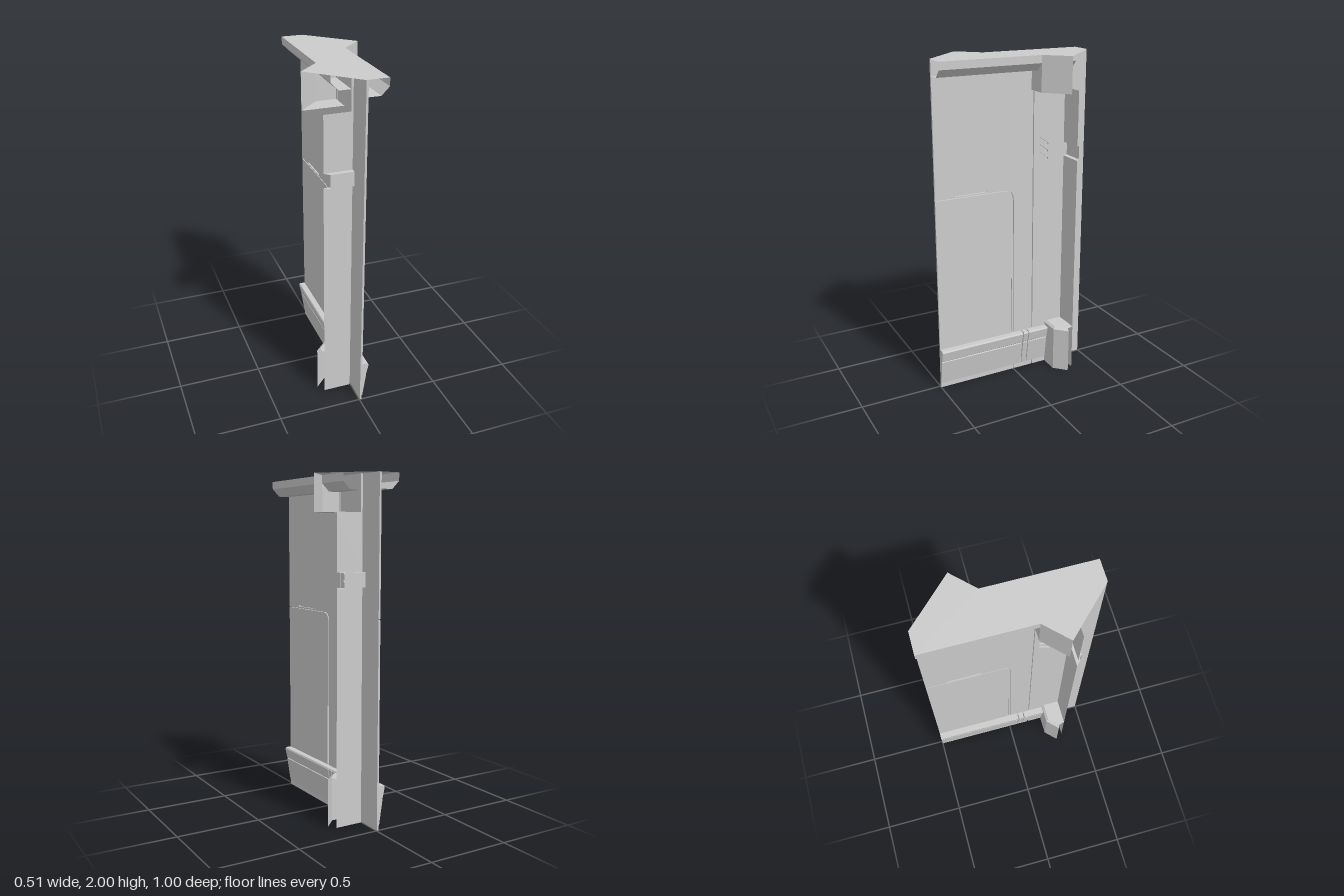
import * as THREE from 'three';

const material = new THREE.MeshStandardMaterial({ color: 0xcccccc, flatShading: true, side: THREE.DoubleSide });

function mesh(name, geometry) {
  const m = new THREE.Mesh(geometry, material);
  m.name = name;
  return m;
}

// Open sheet: joins rows of equally many [x, y, z] points with quads
function sheet(name, rows) {
  const pos = rows.flat(2), index = [], n = rows[0].length;
  for (let r = 0; r < rows.length - 1; r++) {
    for (let i = 0; i < n - 1; i++) {
      const a = r * n + i, b = a + 1, c = a + n, d = c + 1;
      index.push(a, b, d, a, d, c);
    }
  }
  const g = new THREE.BufferGeometry();
  g.setAttribute('position', new THREE.Float32BufferAttribute(pos, 3));
  g.setIndex(index);
  const flat = g.toNonIndexed();
  flat.computeVertexNormals();
  return mesh(name, flat);
}

const row = (plan, y) => plan.map(([x, z]) => [x, y, z]);

function makeShape(pts) {
  return new THREE.Shape(pts.map(p => new THREE.Vector2(p[0], p[1])));
}

// Horizontal flat polygon from [x, z] points
function plate(name, plan, y) {
  const g = new THREE.ShapeGeometry(makeShape(plan.map(([x, z]) => [x, -z])));
  g.rotateX(-Math.PI / 2).translate(0, y, 0);
  return mesh(name, g);
}

// Wall panel drawn in (-z, y), extruded outwards along +x
function panel(name, shape) {
  const g = new THREE.ExtrudeGeometry(shape, { depth: 0.012, bevelEnabled: false, curveSegments: 8 });
  g.rotateY(Math.PI / 2).translate(0.003, 0, 0);
  return mesh(name, g);
}

// Rounded slot between two points
function slot(x0, y0, x1, y1, r) {
  const a = Math.atan2(y1 - y0, x1 - x0), p = new THREE.Path();
  p.absarc(x1, y1, r, a - Math.PI / 2, a + Math.PI / 2);
  p.absarc(x0, y0, r, a + Math.PI / 2, a + Math.PI * 1.5);
  p.closePath();
  return p;
}

function createSide() {
  const side = new THREE.Group();

  // Backing sheet behind the panel seams
  side.add(sheet('wallBacking', [row([[0.003, 0.5], [0.003, -0.345]], 0), row([[0.003, 0.5], [0.003, -0.345]], 2)]));

  // Narrow panel with three slanted vents
  const narrow = makeShape([[0.138, 0], [0.345, 0], [0.345, 2], [0.138, 2]]);
  for (const y of [1.48, 1.435, 1.39]) narrow.holes.push(slot(0.177, y + 0.015, 0.227, y - 0.02, 0.01));
  side.add(panel('ventPanel', narrow));

  // Main panel framing the door, with a slit above the seam
  const frame = new THREE.Shape();
  frame.moveTo(0.132, 0).lineTo(0.132, 2).lineTo(-0.5, 2).lineTo(-0.5, 1.208).lineTo(-0.06, 1.208);
  frame.quadraticCurveTo(0.004, 1.208, 0.004, 1.14).lineTo(0.004, 0).closePath();
  frame.holes.push(slot(-0.37, 1.22, -0.175, 1.22, 0.006));
  side.add(panel('doorFrame', frame));

  // Door leaf with a rounded top corner and a finger slit
  const door = new THREE.Shape();
  door.moveTo(-0.5, 0).lineTo(-0.002, 0).lineTo(-0.002, 1.14);
  door.quadraticCurveTo(-0.002, 1.202, -0.06, 1.202).lineTo(-0.5, 1.202).closePath();
  door.holes.push(slot(-0.011, 0.27, -0.011, 0.63, 0.004));
  side.add(panel('door', door));

  // Baseboard in three lengths, leaning out towards its top
  const profile = makeShape([[0.01, 0.03], [0.018, 0.03], [0.041, 0.182], [0.036, 0.185],
    [0.042, 0.19], [0.055, 0.25], [0.05, 0.26], [0.01, 0.26]]);
  for (const [z0, z1] of [[-0.345, -0.096], [-0.09, -0.058], [-0.052, 0.5]]) {
    const g = new THREE.ExtrudeGeometry(profile, { depth: z1 - z0, bevelEnabled: false });
    side.add(mesh('baseboard', g.translate(0, 0, z0)));
  }

  // Top beam, open at its ends
  const beam = [[0.13, 2], [0.13, 1.955], [0.085, 1.91], [0.015, 1.91]];
  side.add(sheet('topBeam', [0.5, -0.345].map(z => beam.map(([x, y]) => [x, y, z]))));

  // Column shaft with a recessed band
  const outer = [[0.003, -0.345], [0.17, -0.345]], inner = [[0.003, -0.375], [0.14, -0.375]];
  side.add(sheet('columnShaft', [row(outer, 0), row(outer, 1.375), row(inner, 1.375),
    row(inner, 1.46), row(outer, 1.46), row(outer, 1.79)]));

  // Column capital
  const cap = [[0.003, -0.12], [0.13, -0.12], [0.255, -0.245]];
  side.add(sheet('capitalSides', [row(cap, 1.79), row(cap, 2)]));
  side.add(plate('capitalUnderside', [...cap, [0.003, -0.245]], 1.79));

  // Column foot with a sloping rim and top
  const foot = [[0.003, -0.23], [0.13, -0.23], [0.2, -0.3]];
  const rim = [[0.003, -0.245], [0.124, -0.245], [0.182, -0.305]];
  side.add(sheet('columnFoot', [row(foot, 0), row(foot, 0.278), row(rim, 0.29)]));
  side.add(plate('columnFootTop', [...rim, [0.17, -0.345], [0.003, -0.345]], 0.29));
  return side;
}

export function createModel() {
  const model = new THREE.Group();
  model.name = 'wallModule';

  // Both sides are the same, turned half a circle
  for (const [name, turn] of [['leftSide', 0], ['rightSide', Math.PI]]) {
    const side = createSide();
    side.name = name;
    side.rotation.y = turn;
    model.add(side);
  }

  // Top cover
  const half = [[0, -0.5], [0.255, -0.245], [0.13, -0.12], [0.13, 0.5]];
  model.add(plate('topCover', [...half, ...half.map(([x, z]) => [-x, -z])], 2));
  return model;
}
